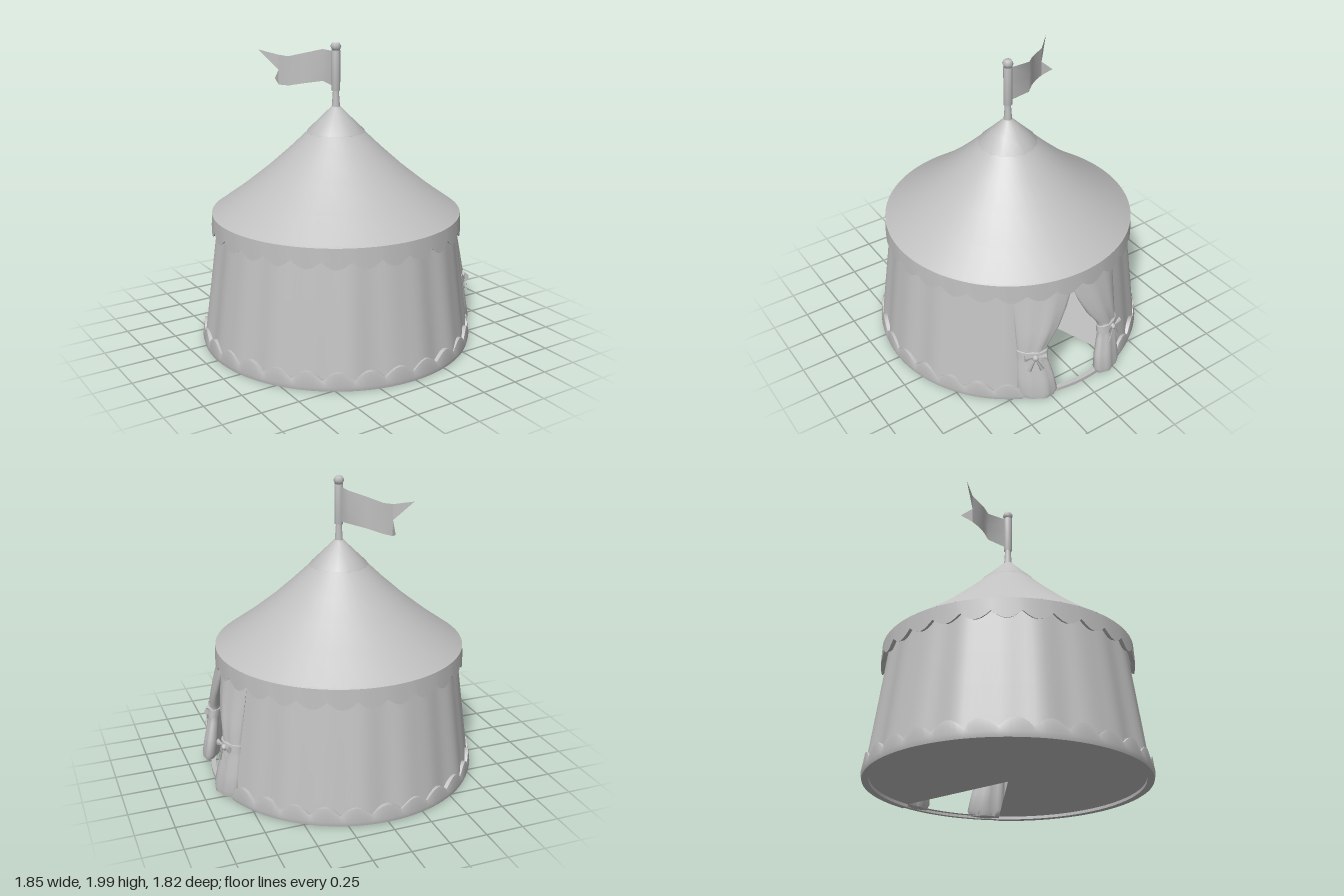
import * as THREE from 'three';
import { toCreasedNormals } from 'three/addons/utils/BufferGeometryUtils.js';

const CX = -0.015;                       // tent axis
const DOOR = [-0.35, 0.48];              // door opening, angles about the axis (0 = +x)
const TAU = Math.PI * 2;
const wallRadius = (y) => 0.9 - 0.13 * y;

export function createModel() {
  const model = new THREE.Group();
  const canvas = new THREE.MeshStandardMaterial({ color: 0xc0c0c0, side: THREE.DoubleSide });
  canvas.name = 'grey canvas';

  const add = (name, geometry, parent = model) => {
    const mesh = new THREE.Mesh(geometry, canvas);
    mesh.name = name;
    parent.add(mesh);
    return mesh;
  };

  // Skin a grid of points: u runs along each row, v from row to row
  function loft(nu, nv, closed, point, crease = 0.7) {
    const cols = closed ? nu : nu + 1;
    const pos = [], index = [];
    for (let j = 0; j <= nv; j++) {
      for (let i = 0; i < cols; i++) pos.push(...point(i / nu, j));
    }
    for (let j = 0; j < nv; j++) {
      for (let i = 0; i < nu; i++) {
        const k = (i + 1) % cols;
        const a = j * cols + i, b = j * cols + k, c = a + cols, d = b + cols;
        index.push(a, c, b, b, c, d);
      }
    }
    const g = new THREE.BufferGeometry();
    g.setAttribute('position', new THREE.Float32BufferAttribute(pos, 3));
    g.setIndex(index);
    return toCreasedNormals(g, crease);
  }
  const polar = (r, a, y) => [CX + r * Math.cos(a), y, r * Math.sin(a)];
  const lathe = (name, pts, sides) => {
    const mesh = add(name, new THREE.LatheGeometry(pts.map((p) => new THREE.Vector2(...p)), sides));
    mesh.position.x = CX;
    return mesh;
  };

  // Wall with hanging folds, open at the door
  const start = DOOR[1], sweep = TAU + DOOR[0] - DOOR[1];
  const wallRows = [0.02, 0.15, 0.35, 0.55, 0.75, 0.89];
  add('wall', loft(120, wallRows.length - 1, false, (u, j) => {
    const a = start + u * sweep, y = wallRows[j];
    const fold = 0.007 * Math.sin(a * 13) + 0.005 * Math.sin(a * 22 + 1);
    return polar(wallRadius(y) - 0.004 + fold * (1.1 - y * 0.5), a, y);
  }, 1.2));

  // Scalloped trim along the foot of the wall
  add('footTrim', loft(150, 5, false, (u, j) => {
    const a = start + u * sweep;
    const top = 0.075 + 0.055 * Math.abs(Math.sin(u * 25 * Math.PI));
    const p = [[0.875, top], [0.9, top], [0.912, 0.04], [0.905, 0.01], [0.86, 0.01], [0.86, 0.05]][j];
    return polar(p[0], a, p[1]);
  }));

  // Low sill across the door
  add('doorSill', loft(12, 3, false, (u, j) => {
    const p = [[0.86, 0.035], [0.89, 0.035], [0.89, 0.01], [0.86, 0.01]][j];
    return polar(p[0], DOOR[0] + u * (DOOR[1] - DOOR[0]), p[1]);
  }));

  // Groundsheet with a wedge left out in front of the door
  const floor = add('floor', new THREE.CircleGeometry(0.875, 48, start, sweep).rotateX(Math.PI / 2));
  floor.position.set(CX, 0.03, 0);

  // Roof cone, cap and scalloped valance
  lathe('roof', [[0.818, 0.9], [0.63, 1.035], [0.455, 1.175], [0.31, 1.305], [0.18, 1.43]], 40);
  lathe('roofCap', [[0.17, 1.395], [0.19, 1.39], [0.192, 1.425], [0.11, 1.505], [0.03, 1.585], [0, 1.6]], 16);
  add('valance', loft(168, 4, true, (u, j) => {
    const edge = 0.81 - 0.05 * Math.abs(Math.sin(u * 28 * Math.PI));
    const p = [[0.81, 0.904], [0.824, 0.895], [0.829, edge], [0.8, edge + 0.012], [0.79, 0.89]][j];
    return polar(p[0], u * TAU, p[1]);
  }));

  // Flagpole, sleeve and knob
  lathe('flagpole', [[0.029, 1.57], [0.019, 1.7]], 8);
  lathe('flagSleeve', [[0, 1.69], [0.029, 1.69], [0.029, 1.95], [0, 1.95]], 8);
  lathe('poleKnob', [[0, 1.945], [0.025, 1.95], [0.036, 1.975], [0.025, 1.997], [0, 2]], 8);

  // Swallow-tailed flag: x, z, bottom, top at each step; the last step is two tips
  const cloth = [[-0.015, 0, 1.71, 1.94], [-0.015, -0.16, 1.73, 1.94], [-0.11, -0.25, 1.71, 1.91],
    [-0.18, -0.33, 1.69, 1.885], [-0.215, -0.4, 1.69, 1.89]];
  add('flag', loft(4, 2, false, (u, j) => {
    const [x, z, low, high] = cloth[Math.round(u * 4)];
    return [x, low + (high - low) * j / 2, z];
  }, 1.5));
  const tip = (name, a, b, c) => {
    const g = new THREE.BufferGeometry();
    g.setAttribute('position', new THREE.Float32BufferAttribute([...a, ...b, ...c], 3));
    g.computeVertexNormals();
    add(name, g);
  };
  const notch = [-0.215, 1.79, -0.4];
  tip('flagUpperTip', notch, [-0.31, 1.92, -0.5], [-0.215, 1.89, -0.4]);
  tip('flagLowerTip', [-0.215, 1.69, -0.4], [-0.2, 1.72, -0.48], notch);

  // Door curtains: height, inner and outer offset from the door's middle, half depth
  const drape = [[0.82, 0, 0.37, 0.015], [0.76, 0.005, 0.37, 0.02], [0.66, 0.045, 0.37, 0.032],
    [0.54, 0.105, 0.37, 0.042], [0.43, 0.185, 0.37, 0.048], [0.36, 0.21, 0.365, 0.036],
    [0.29, 0.19, 0.375, 0.045], [0.18, 0.165, 0.38, 0.054], [0.07, 0.15, 0.39, 0.058],
    [0.03, 0.17, 0.37, 0.05], [0.02, 0.265, 0.275, 0.004]];
  const band = [[0.395, 0.21, 0.36, 0.035], [0.39, 0.192, 0.375, 0.053], [0.335, 0.192, 0.375, 0.053],
    [0.33, 0.21, 0.36, 0.035]];
  const drapeLoft = (rows, side, fold) => loft(28, rows.length - 1, true, (u, j) => {
    const [y, inner, outer, depth] = rows[j], t = u * TAU;
    const z = 0.055 + side * ((inner + outer) / 2 + (outer - inner) / 2 * Math.cos(t));
    const bulge = depth * Math.sin(t) * (1 + fold * Math.cos(t * 7));
    return [CX + Math.sqrt(wallRadius(y) ** 2 - z * z) + bulge, y, z];
  }, 1);

  for (const side of [1, -1]) {
    const curtain = new THREE.Group();
    curtain.name = side > 0 ? 'leftCurtain' : 'rightCurtain';
    model.add(curtain);
    add('drape', drapeLoft(drape, side, 0.12), curtain);
    add('tieBand', drapeLoft(band, side, 0), curtain);

    // Bow: knot, two loops and two tails, facing outwards
    const bow = new THREE.Group();
    bow.name = 'bow';
    const z = 0.055 + side * 0.295;
    bow.position.set(CX + Math.sqrt(0.853 ** 2 - z * z) + 0.055, 0.362, z);
    bow.rotation.y = -Math.atan2(z, 0.82);
    curtain.add(bow);
    add('knot', new THREE.SphereGeometry(0.022, 8, 6), bow);
    for (const s of [1, -1]) {
      const loop = add('loop', new THREE.ConeGeometry(0.026, 0.065, 6).rotateX(-s * Math.PI / 2), bow);
      loop.scale.x = 0.6;
      loop.position.set(0.004, 0.008, s * 0.037);
      const tail = add('tail', new THREE.CylinderGeometry(0.006, 0.016, 0.1, 4), bow);
      tail.scale.x = 0.5;
      tail.position.set(0.012, -0.05, s * 0.024);
      tail.rotation.x = -s * 0.4;
    }
  }
  return model;
}
